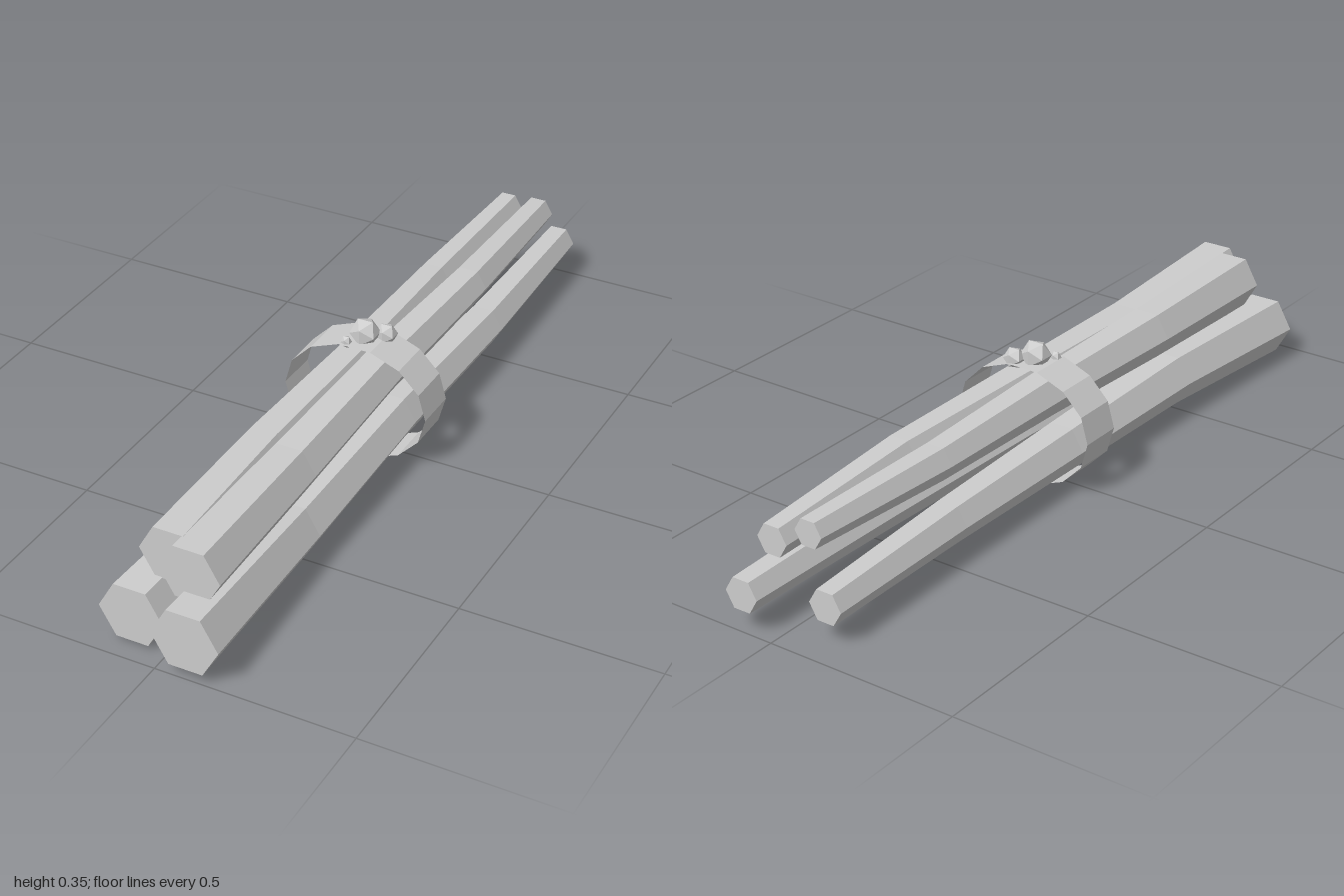
import * as THREE from 'three';

export function createModel() {
  const group = new THREE.Group();
  group.name = 'logBundle';
  const grey = new THREE.MeshStandardMaterial({ color: 0xcccccc, flatShading: true, side: THREE.DoubleSide });
  grey.name = 'plain grey';

  const add = (name, geometry, x = 0, y = 0, z = 0) => {
    const mesh = new THREE.Mesh(geometry, grey);
    mesh.name = name;
    mesh.position.set(x, y, z);
    group.add(mesh);
    return mesh;
  };

  // Six-sided tapering log, bent through five centre points [x, y] from front to back
  function log(name, front, back, rFront, rBack, centres) {
    const geo = new THREE.CylinderGeometry(1, 1, 1, 6, 4);
    geo.rotateY(Math.PI / 6).rotateX(Math.PI / 2);
    const p = geo.attributes.position;
    for (let i = 0; i < p.count; i++) {
      const t = 0.5 - p.getZ(i);
      const [cx, cy] = centres[Math.round(t * 4)];
      const r = THREE.MathUtils.lerp(rFront, rBack, t);
      p.setXYZ(i, cx + p.getX(i) * r, cy + p.getY(i) * r, THREE.MathUtils.lerp(front, back, t));
    }
    geo.computeVertexNormals();
    add(name, geo);
  }

  log('lowerRightLog', 0.95, -0.93, 0.083, 0.045,
    [[-0.088, 0.085], [-0.072, 0.097], [-0.07, 0.09], [-0.08, 0.093], [-0.1, 0.095]]);
  log('lowerLeftLog', 1, -1, 0.086, 0.045,
    [[0.08, 0.105], [0.068, 0.085], [0.075, 0.105], [0.085, 0.098], [0.08, 0.098]]);
  log('upperRightLog', 0.88, -0.89, 0.077, 0.038,
    [[-0.025, 0.222], [-0.035, 0.228], [-0.03, 0.23], [-0.035, 0.23], [-0.025, 0.236]]);
  log('upperLeftLog', 0.92, -0.93, 0.078, 0.042,
    [[0.05, 0.222], [0.042, 0.216], [0.042, 0.227], [0.055, 0.228], [0.045, 0.215]]);

  // Thin oval strap round the bundle
  const strap = new THREE.CylinderGeometry(1, 1, 0.114, 14, 1, true);
  strap.rotateY(Math.PI / 14).rotateX(Math.PI / 2).scale(0.193, 0.156, 1);
  add('strap', strap, 0, 0.156, 0);

  // Faceted knot on top of the strap
  add('knotLarge', new THREE.IcosahedronGeometry(0.039, 0), 0, 0.323, 0);
  add('knotMedium', new THREE.IcosahedronGeometry(0.028, 0), 0.043, 0.315, -0.03);
  add('knotSmall', new THREE.IcosahedronGeometry(0.014, 0), -0.031, 0.309, 0.04).scale.y = 1.2;

  return group;
}
